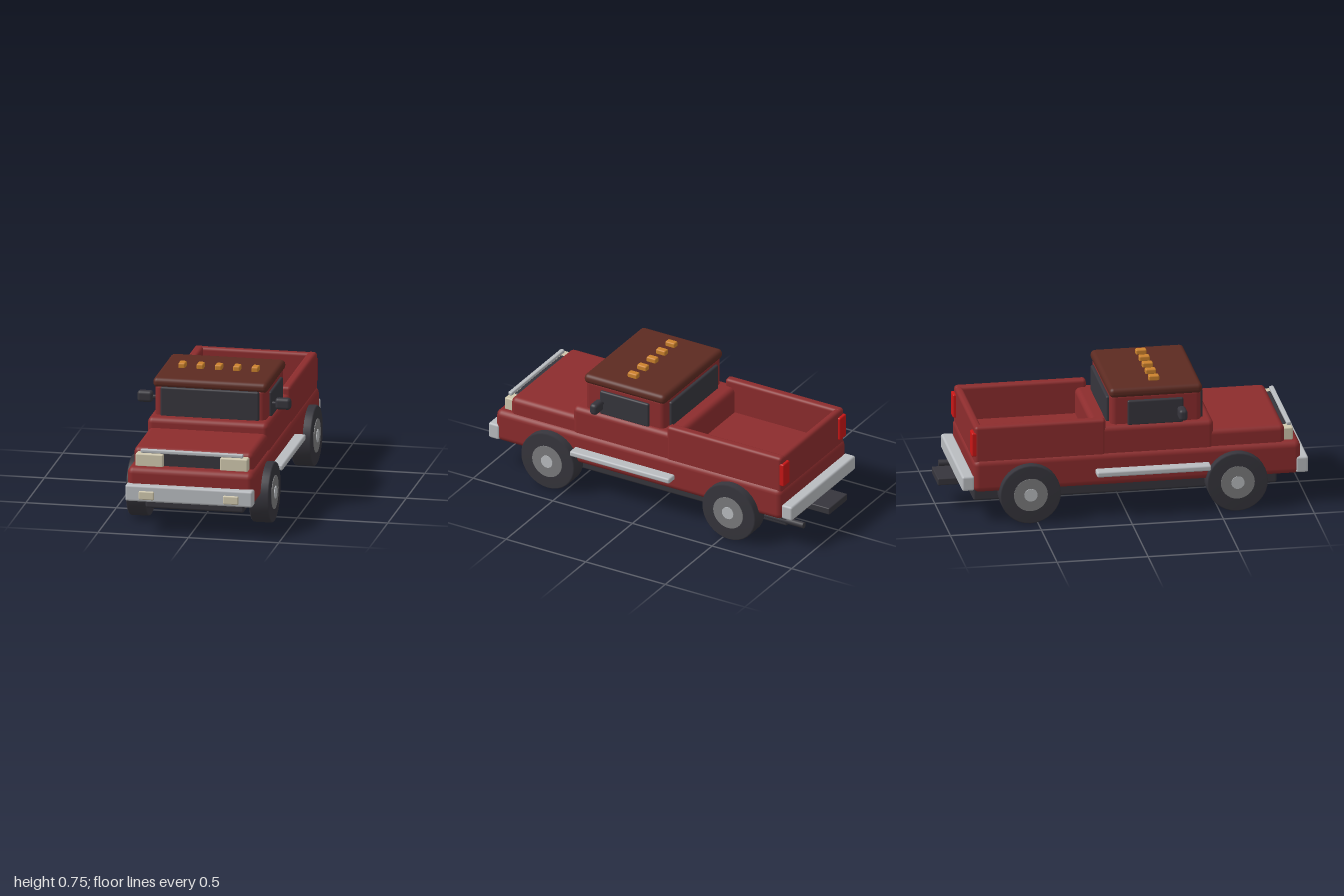
import * as THREE from 'three';
import { RoundedBoxGeometry } from 'three/addons/geometries/RoundedBoxGeometry.js';

const material = (name, color) => {
  const m = new THREE.MeshStandardMaterial({ color });
  m.name = name;
  return m;
};

export function createModel() {
  const truck = new THREE.Group();
  truck.name = 'pickupTruck';

  const paint = material('red paint', 0x8c2c2d);
  const roofPaint = material('brown roof', 0x5c2a21);
  const dark = material('dark rubber and glass', 0x36353c);
  const chrome = material('chrome', 0xb9bcc0);
  const cream = material('cream lamp', 0xd0c8ae);
  const amber = material('amber lamp', 0xcc822c);
  const red = material('red lamp', 0xc81616);
  const steel = material('rim steel', 0x7b7b7d);

  // Rounded box given by its extents on each axis
  function box(name, mat, [x0, x1], [y0, y1], [z0, z1], r = 0.01, parent = truck) {
    const mesh = new THREE.Mesh(new RoundedBoxGeometry(x1 - x0, y1 - y0, z1 - z0, 3, r), mat);
    mesh.name = name;
    mesh.position.set((x0 + x1) / 2, (y0 + y1) / 2, (z0 + z1) / 2);
    parent.add(mesh);
    return mesh;
  }
  const centred = (h) => [-h, h];
  // The same box on both sides of the truck
  function pair(name, mat, [x0, x1], y, z, r) {
    box(name + 'Left', mat, [x0, x1], y, z, r);
    box(name + 'Right', mat, [-x1, -x0], y, z, r);
  }

  // Body and cab
  box('lowerBody', paint, centred(0.35), [0.177, 0.365], [-0.846, 0.953], 0.035);
  box('hood', paint, centred(0.33), [0.32, 0.456], [0.4, 0.868], 0.03);
  box('cabBase', paint, centred(0.335), [0.3, 0.513], [-0.18, 0.477], 0.03);
  box('cab', paint, centred(0.307), [0.46, 0.69], [-0.085, 0.412], 0.03);
  box('roof', roofPaint, centred(0.317), [0.664, 0.72], [-0.093, 0.418], 0.025);

  // Cargo bed
  pair('bedSide', paint, [0.285, 0.338], [0.3, 0.556], [-0.838, -0.118], 0.018);
  box('tailgate', paint, centred(0.332), [0.3, 0.554], [-0.838, -0.795], 0.018);

  // Windows
  box('windshield', dark, centred(0.272), [0.505, 0.673], [0.385, 0.425]);
  box('rearWindow', dark, centred(0.25), [0.505, 0.655], [-0.102, -0.07]);
  pair('sideWindow', dark, [0.29, 0.321], [0.505, 0.648], [0.005, 0.312]);
  pair('mirror', dark, [0.338, 0.424], [0.549, 0.613], [0.272, 0.318], 0.018);
  pair('mirrorArm', dark, [0.305, 0.345], [0.57, 0.59], [0.285, 0.305], 0.008);

  // Front end
  box('grille', dark, centred(0.25), [0.355, 0.44], [0.84, 0.89]);
  box('grilleTrim', chrome, centred(0.283), [0.437, 0.457], [0.885, 0.91], 0.006);
  pair('headlight', cream, [0.157, 0.31], [0.36, 0.434], [0.84, 0.915], 0.008);
  box('frontBumper', chrome, centred(0.352), [0.185, 0.276], [0.925, 0.993], 0.012);
  pair('fogLight', cream, [0.19, 0.276], [0.198, 0.247], [0.96, 1.0], 0.008);

  // Rear end
  box('rearBumper', chrome, centred(0.342), [0.19, 0.274], [-0.908, -0.84], 0.012);
  pair('tailLight', red, [0.268, 0.336], [0.385, 0.52], [-0.854, -0.82], 0.008);

  // Sides and underside
  pair('runningBoard', chrome, [0.33, 0.41], [0.247, 0.279], [-0.177, 0.45], 0.01);
  box('chassis', dark, centred(0.272), [0.106, 0.18], [-0.835, 0.832], 0.012);
  box('hitch', dark, centred(0.098), [0.14, 0.18], [-1.0, -0.82], 0.006);
  const exhaust = new THREE.Mesh(new THREE.CylinderGeometry(0.018, 0.018, 0.3, 16), dark);
  exhaust.name = 'exhaustPipe';
  exhaust.rotation.x = Math.PI / 2;
  exhaust.position.set(0.257, 0.135, -0.785);
  truck.add(exhaust);

  // Roof marker lights
  for (let i = -2; i <= 2; i++) {
    const x = i * 0.101;
    box('markerLight', amber, [x - 0.019, x + 0.019], [0.715, 0.747], [0.138, 0.197], 0.008);
  }

  // Wheels: tyre with bevelled shoulders, rim and hub cap along x
  const tyreProfile = [[0, -0.055], [0.16, -0.055], [0.167, -0.048], [0.167, 0.048], [0.16, 0.055], [0, 0.055]];
  const parts = [
    ['tyre', new THREE.LatheGeometry(tyreProfile.map(([r, y]) => new THREE.Vector2(r, y)), 32), dark],
    ['rim', new THREE.CylinderGeometry(0.093, 0.093, 0.117, 28), steel],
    ['hubCap', new THREE.CylinderGeometry(0.036, 0.036, 0.125, 20), chrome],
  ];
  for (const side of [1, -1]) {
    for (const z of [0.597, -0.54]) {
      const wheel = new THREE.Group();
      wheel.name = (z > 0 ? 'front' : 'rear') + 'Wheel' + (side > 0 ? 'Left' : 'Right');
      for (const [name, geometry, mat] of parts) {
        const mesh = new THREE.Mesh(geometry, mat);
        mesh.name = name;
        wheel.add(mesh);
      }
      wheel.rotation.z = -side * Math.PI / 2;
      wheel.position.set(side * 0.34, 0.168, z);
      truck.add(wheel);
    }
  }
  return truck;
}
